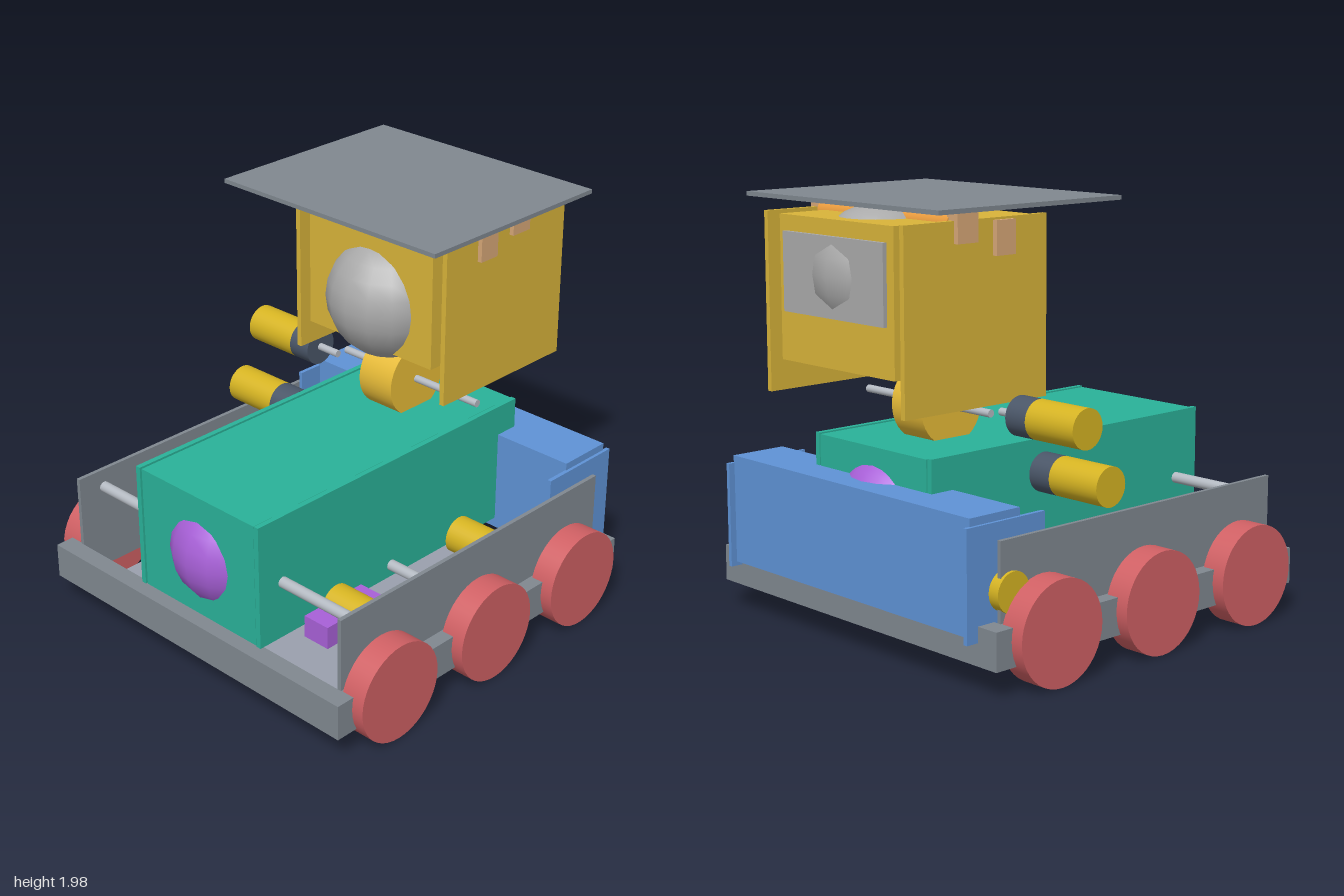
import * as THREE from 'three';

const mat = (color) => new THREE.MeshStandardMaterial({ color });
const M = {
  steel: mat(0x808890), plate: mat(0x9aa0ae), red: mat(0xd06064), green: mat(0x2ab299),
  purple: mat(0xa860d8), blue: mat(0x5f93d6), yellow: mat(0xd9b43a), motor: mat(0xd6b422),
  dark: mat(0x4a5668), black: mat(0x484848), rod: mat(0xb4bac2), orange: mat(0xf0a040),
  tan: mat(0xd8a878), eye: mat(0xaaaaaa), neck: mat(0xe8bc38),
};

export function createModel() {
  const root = new THREE.Group();

  const add = (name, geo, material) => {
    const m = new THREE.Mesh(geo, material);
    m.name = name;
    root.add(m);
    return m;
  };
  // box given by its limits on each axis
  const box = (name, material, x0, x1, y0, y1, z0, z1) => {
    const m = add(name, new THREE.BoxGeometry(x1 - x0, y1 - y0, z1 - z0), material);
    m.position.set((x0 + x1) / 2, (y0 + y1) / 2, (z0 + z1) / 2);
  };
  // the same box on both sides
  const pair = (name, material, x0, x1, ...rest) => {
    box(name + 'Left', material, x0, x1, ...rest);
    box(name + 'Right', material, -x1, -x0, ...rest);
  };
  // cylinder lying along x
  const bar = (name, material, xa, xb, y, z, r, sides = 32) => {
    const geo = new THREE.CylinderGeometry(r, r, Math.abs(xb - xa), sides).rotateZ(Math.PI / 2);
    add(name, geo, material).position.set((xa + xb) / 2, y, z);
  };
  const ball = (name, material, y, z, r) =>
    add(name, new THREE.SphereGeometry(r, 16, 12), material).position.set(0, y, z);
  // motor: casing, dark gearbox, thin output shaft
  const motor = (name, x0, x1, x2, x3, y, z) => {
    bar(name + 'Casing', M.motor, x0, x1, y, z, 0.09);
    bar(name + 'Gearbox', M.dark, x1, x2, y, z, 0.09);
    bar(name + 'Shaft', M.rod, x2, x3, y, z, 0.018, 16);
  };

  // chassis
  box('floorPlate', M.plate, -0.77, 0.77, 0.08, 0.11, -0.58, 0.9);
  box('frontBumper', M.steel, -0.93, 0.93, 0.13, 0.3, 0.91, 1.0);
  box('rearBumper', M.steel, -0.93, 0.93, 0.13, 0.3, -0.89, -0.8);
  pair('sideRail', M.steel, 0.85, 0.93, 0.13, 0.3, -0.8, 0.91);
  pair('sidePanel', M.steel, 0.84, 0.86, 0.3, 0.65, -0.8, 0.91);

  // wheels and drive motors
  for (const s of [-1, 1]) {
    for (const z of [0.68, 0.05, -0.57]) bar('wheel', M.red, s * 0.87, s * 0.99, 0.24, z, 0.235, 40);
    motor('frontDrive', s * 0.39, s * 0.62, s * 0.74, s * 0.85, 0.325, 0.46);
    motor('rearDrive', s * 0.39, s * 0.64, s * 0.74, s * 0.85, 0.325, -0.37);
  }

  // body
  box('body', M.green, -0.36, 0.36, 0.3, 0.9, -0.76, 0.925);
  pair('bodySide', M.green, 0.367, 0.393, 0.3, 0.905, -0.76, 0.93);
  ball('frontDome', M.purple, 0.58, 0.71, 0.29);
  ball('rearDome', M.purple, 0.58, -0.595, 0.29);
  bar('frontCrossRod', M.rod, -0.81, 0.81, 0.58, 0.79, 0.026, 20);
  bar('rearCrossRod', M.rod, -0.81, 0.81, 0.36, 0.1, 0.026, 20);
  box('purpleModule', M.purple, 0.39, 0.535, 0.235, 0.345, 0.3, 0.66);
  box('blackModule', M.black, -0.555, -0.39, 0.235, 0.375, 0.38, 0.62);

  // rear container
  box('rearContainer', M.blue, -0.805, 0.805, 0.25, 0.755, -0.92, -0.64);
  pair('containerEnd', M.blue, 0.8, 0.82, 0.23, 0.72, -0.95, -0.51);
  bar('containerMotor', M.motor, -0.875, -0.82, 0.425, -0.74, 0.09);

  // neck and its motors
  motor('upperMotor', -0.875, -0.59, -0.47, -0.35, 1.045, -0.315);
  motor('lowerMotor', -0.865, -0.58, -0.46, -0.35, 0.77, -0.16);
  bar('neckDisc', M.neck, -0.1, 0.1, 1.045, -0.38, 0.178, 40);
  bar('neckAxle', M.rod, -0.355, 0.475, 1.045, -0.38, 0.018, 16);

  // head
  box('headBox', M.yellow, -0.38, 0.38, 1.26, 1.9, -0.945, -0.16);
  pair('headSide', M.yellow, 0.44, 0.465, 1.11, 1.91, -0.965, -0.155);
  ball('frontEye', M.eye, 1.475, -0.295, 0.295);
  ball('rearEye', M.eye, 1.66, -0.7, 0.3);
  box('rearScreen', M.eye, -0.335, 0.335, 1.48, 1.83, -0.965, -0.94);
  bar('frontHeadRod', M.orange, -0.43, 0.43, 1.825, -0.415, 0.06);
  bar('rearHeadRod', M.orange, -0.43, 0.43, 1.89, -0.635, 0.065);
  pair('frontHeadBracket', M.tan, 0.42, 0.487, 1.75, 1.9, -0.47, -0.36);
  pair('rearHeadBracket', M.tan, 0.42, 0.487, 1.815, 1.96, -0.69, -0.575);
  box('roof', M.steel, -0.64, 0.64, 1.96, 1.98, -0.93, 0.125);

  return root;
}
